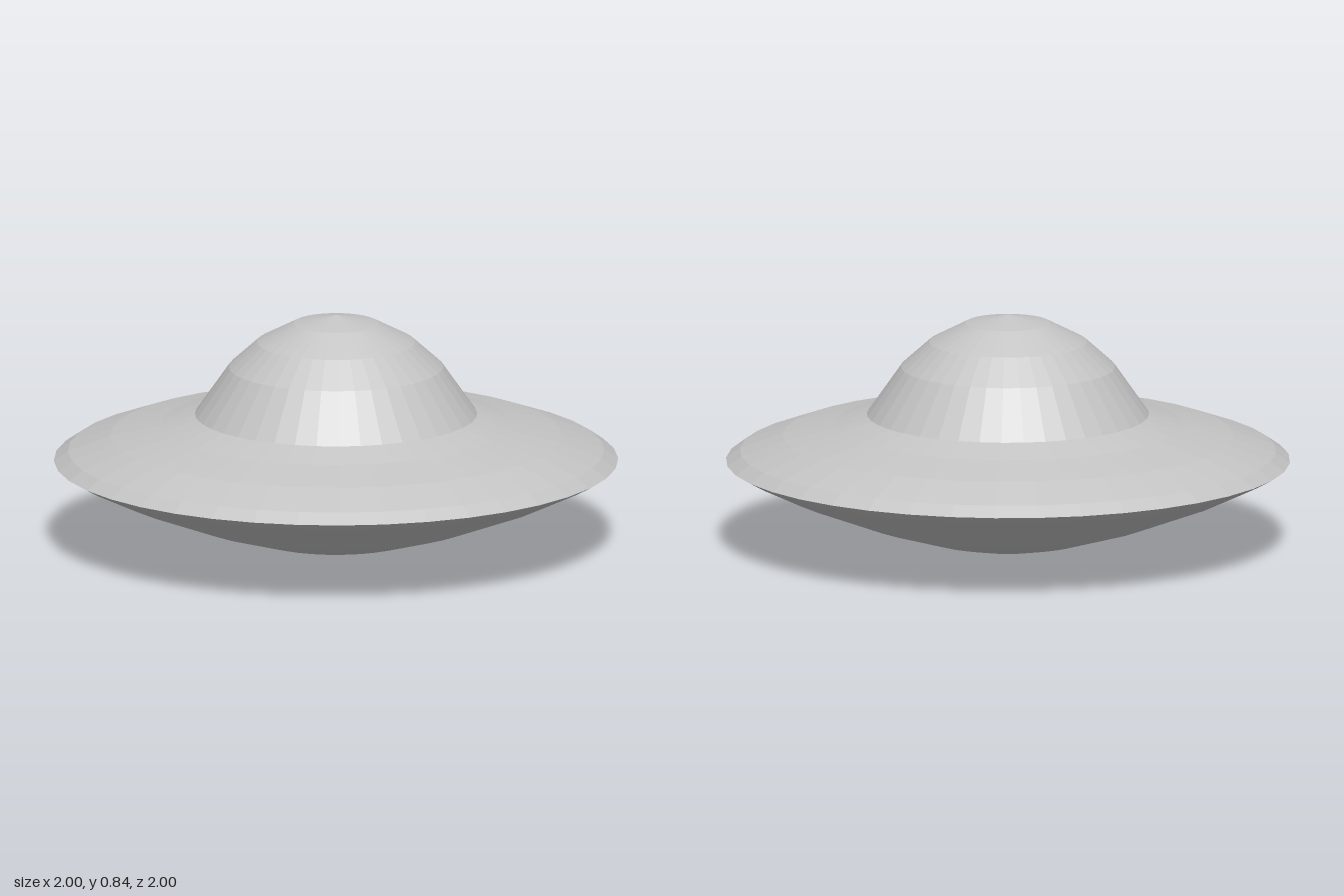
import * as THREE from 'three';

const SEGMENTS = 40;

export function createModel() {
  const model = new THREE.Group();
  model.name = 'flyingSaucer';

  const greyMetal = new THREE.MeshStandardMaterial({ color: 0xc4c4c4, flatShading: true });
  greyMetal.name = 'grey metal';

  // Revolve a profile of [radius, height] pairs, listed from bottom to top
  function addLathe(name, profile) {
    const points = profile.map(([r, y]) => new THREE.Vector2(r, y));
    const mesh = new THREE.Mesh(new THREE.LatheGeometry(points, SEGMENTS), greyMetal);
    mesh.name = name;
    model.add(mesh);
  }

  // Shallow bowl with a slight dimple at its centre
  addLathe('lowerHull', [
    [0, 0.015], [0.12, 0], [0.3, 0.04], [0.53, 0.11], [0.8, 0.215], [0.95, 0.287], [1, 0.315],
  ]);

  // Sloping deck from the rim up to the dome
  addLathe('upperHull', [
    [1, 0.315], [0.95, 0.35], [0.8, 0.405], [0.62, 0.445], [0.5, 0.483],
  ]);

  // Cabin dome with a blunt peak
  addLathe('dome', [
    [0.5, 0.483], [0.38, 0.655], [0.28, 0.745], [0.15, 0.813], [0, 0.843],
  ]);

  return model;
}
